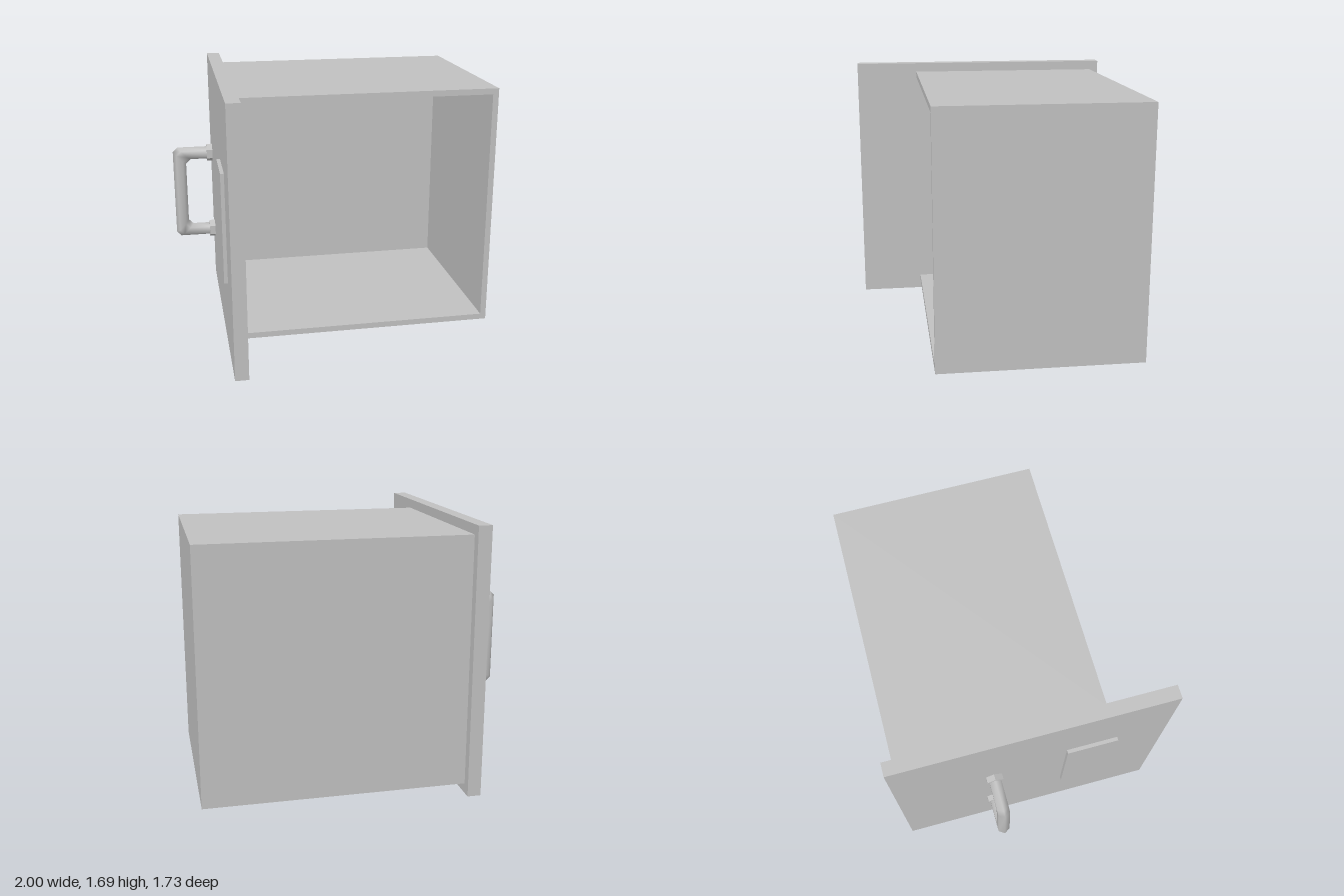
import * as THREE from 'three';

const grey = new THREE.MeshStandardMaterial({ color: 0xc0c0c0 });
grey.name = 'light grey';

// Box given by its limits along each axis
function block(name, [x0, x1], [y0, y1], [z0, z1]) {
  const mesh = new THREE.Mesh(new THREE.BoxGeometry(x1 - x0, y1 - y0, z1 - z0), grey);
  mesh.position.set((x0 + x1) / 2, (y0 + y1) / 2, (z0 + z1) / 2);
  mesh.name = name;
  return mesh;
}

// Six-sided bar along a path; each ring is stretched along its own outward direction
function barGeometry(rings, radius, sides) {
  const positions = [], index = [];
  rings.forEach(([x, y, nx, ny], j) => {
    for (let i = 0; i < sides; i++) {
      const a = (i / sides) * Math.PI * 2;
      const c = Math.cos(a) * radius;
      positions.push(x + nx * c, y + ny * c, Math.sin(a) * radius);
      if (j === rings.length - 1) continue;
      const p = j * sides + i, q = j * sides + (i + 1) % sides;
      index.push(p, p + sides, q, q, p + sides, q + sides);
    }
  });
  const geometry = new THREE.BufferGeometry();
  geometry.setAttribute('position', new THREE.Float32BufferAttribute(positions, 3));
  geometry.setIndex(index);
  geometry.computeVertexNormals();
  return geometry;
}

function createHandle() {
  const handle = new THREE.Group();
  handle.name = 'handle';
  const top = 1.117, bottom = 0.575, grip = -0.9575, bend = 0.03;

  const bar = new THREE.Mesh(barGeometry([
    [-0.75, top, 0, 1],
    [grip + bend, top, -1, 1],
    [grip, top - bend, -1, 1],
    [grip, bottom + bend, -1, -1],
    [grip + bend, bottom, -1, -1],
    [-0.75, bottom, 0, -1],
  ], 0.0425, 6), grey);
  bar.name = 'handleBar';
  handle.add(bar);

  // Hexagonal nuts with a corner pointing up
  let hex = new THREE.CylinderGeometry(0.058, 0.058, 0.037, 6);
  hex.rotateY(Math.PI / 2).rotateZ(Math.PI / 2);
  hex = hex.toNonIndexed();
  hex.computeVertexNormals();
  for (const y of [top, bottom]) {
    const nut = new THREE.Mesh(hex, grey);
    nut.position.set(-0.757, y, 0);
    nut.name = 'handleNut';
    handle.add(nut);
  }
  handle.position.z = -0.25;
  return handle;
}

export function createModel() {
  const model = new THREE.Group();
  model.name = 'drawer';
  const x0 = -0.63, x1 = 1, y0 = 0.063, y1 = 1.627, z0 = -0.807, z1 = 0.453, t = 0.037;

  // Open-fronted box
  model.add(
    block('bottomWall', [x0, x1], [y0, y0 + t], [z0, z1]),
    block('topWall', [x0, x1], [y1 - t, y1], [z0, z1]),
    block('endWall', [x1 - t, x1], [y0 + t, y1 - t], [z0, z1]),
    block('backWall', [x0, x1 - t], [y0 + t, y1 - t], [z0, z0 + t]),
  );

  // Overhanging face panel with its raised plate and handle
  model.add(
    block('facePanel', [-0.715, x0], [0, 1.687], [-0.865, 0.865]),
    block('labelPlate', [-0.738, -0.715], [0.495, 1.197], [0.218, 0.54]),
    createHandle(),
  );
  return model;
}
